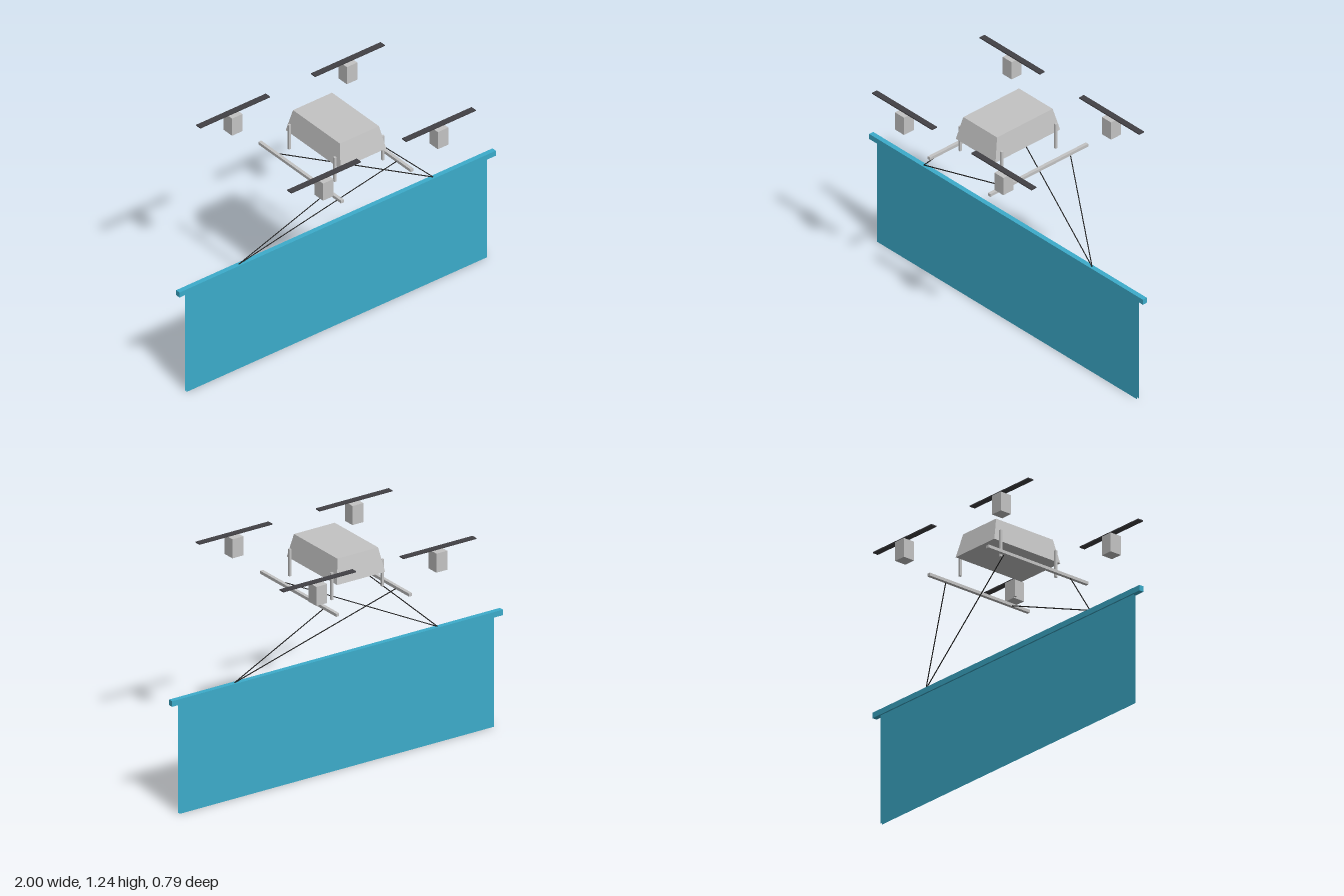
import * as THREE from 'three';

const material = (name, color, side = THREE.FrontSide) => {
  const m = new THREE.MeshStandardMaterial({ color, side });
  m.name = name;
  return m;
};

export function createModel() {
  const grey = material('light grey', 0xc4c4c4);
  const dark = material('dark rotor grey', 0x424145);
  const black = material('cable black', 0x242424);
  const teal = material('teal', 0x3caccb, THREE.DoubleSide);

  const model = new THREE.Group();
  model.name = 'bannerDrone';

  const add = (name, geometry, mat, x = 0, y = 0, z = 0) => {
    const mesh = new THREE.Mesh(geometry, mat);
    mesh.name = name;
    mesh.position.set(x, y, z);
    model.add(mesh);
    return mesh;
  };
  const box = (w, h, d) => new THREE.BoxGeometry(w, h, d);

  // Body: box tapering towards the top
  const body = box(0.29, 0.127, 0.436);
  const p = body.attributes.position;
  for (let i = 0; i < p.count; i++) {
    if (p.getY(i) > 0) p.setXYZ(i, p.getX(i) * 0.85, p.getY(i), p.getZ(i) * 0.86);
  }
  body.computeVertexNormals();
  add('body', body, grey, 0, 1.1745, 0);

  // Motors, rotors and legs at the four corners
  for (const sx of [-1, 1]) {
    for (const sz of [-1, 1]) {
      add('motor', box(0.066, 0.103, 0.067), grey, sx * 0.363, 1.175, sz * 0.363);
      add('rotor', box(0.44, 0.006, 0.033), dark, sx * 0.363, 1.24, sz * 0.363);
      add('leg', box(0.013, 0.145, 0.013), grey, sx * 0.152, 1.094, sz * 0.182);
    }
    add('skid', box(0.018, 0.016, 0.66), grey, sx * 0.22, 1.008, 0);
  }

  // Cables: each beam anchor connects to both skids on one side
  const cable = (a, b) => {
    const dir = b.clone().sub(a);
    const mesh = add('cable', new THREE.CylinderGeometry(0.0028, 0.0028, dir.length(), 6), black);
    mesh.position.copy(a).add(b).multiplyScalar(0.5);
    mesh.quaternion.setFromUnitVectors(new THREE.Vector3(0, 1, 0), dir.normalize());
  };
  for (const side of [-1, 1]) {
    for (const skid of [-1, 1]) {
      cable(
        new THREE.Vector3(side * 0.615, 0.622, 0),
        new THREE.Vector3(skid * 0.22, 1.006, side * -0.216)
      );
    }
  }

  // Beam and the banner hanging from it as two open sheets
  add('beam', box(2, 0.03, 0.027), teal, 0, 0.608, 0);
  for (const s of [-1, 1]) {
    const sheet = add('bannerSheet', new THREE.PlaneGeometry(1.9, 0.592), teal, 0, 0.296, s * 0.006);
    if (s < 0) sheet.rotation.y = Math.PI;
  }

  return model;
}
